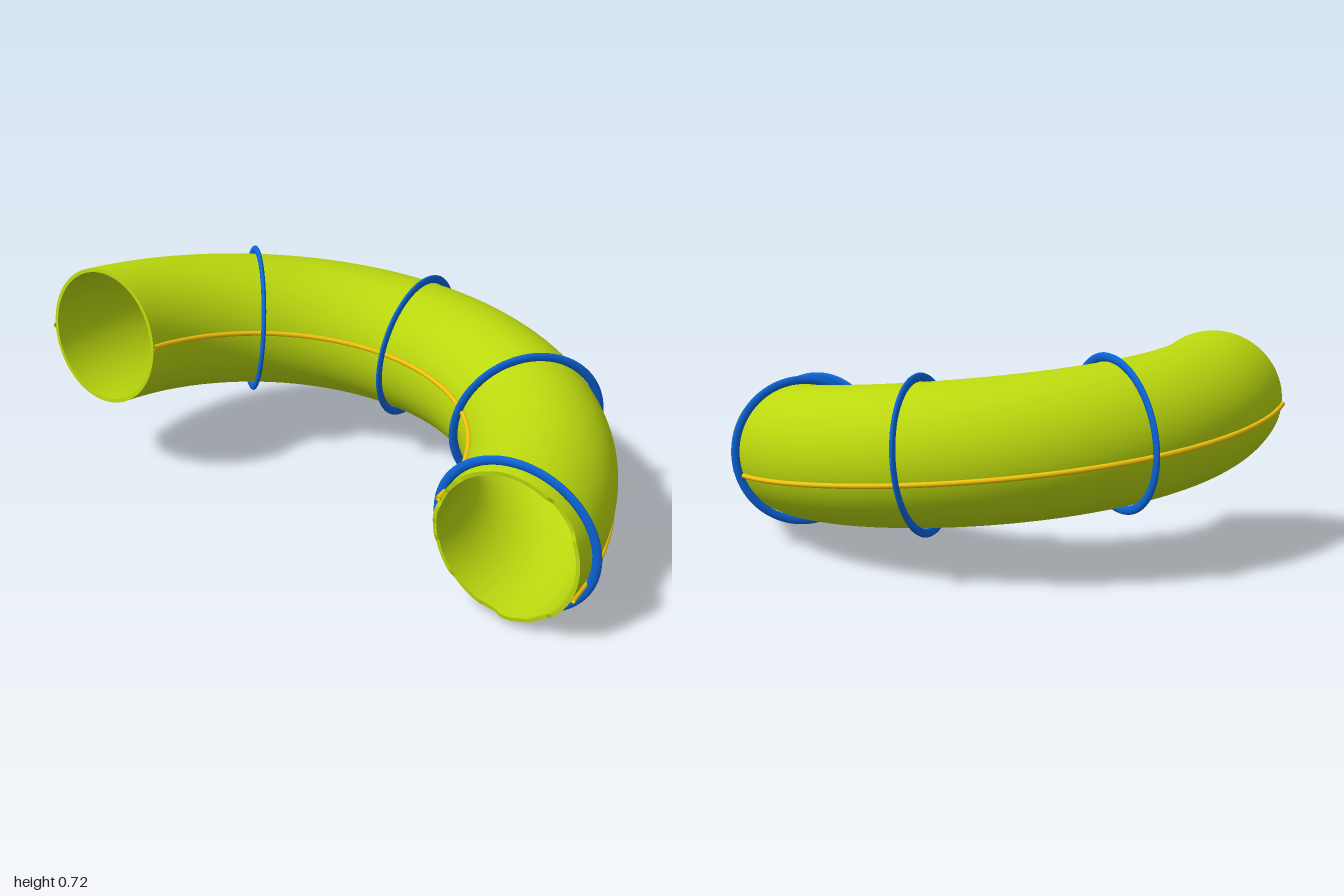
import * as THREE from 'three';
import { ParametricGeometry } from 'three/addons/geometries/ParametricGeometry.js';

const BEND = 0.752, RISE = 0.25, OUTER = 0.223, INNER = 0.211;
const END = Math.PI - 0.033;

// Local frame of the rising half-turn: centre, outward and upward directions
function frame(a) {
  const c = Math.cos(a), s = Math.sin(a);
  const centre = new THREE.Vector3(-0.01 + BEND * c, 0.255 + RISE * a / Math.PI, 0.47 - BEND * s);
  const tangent = new THREE.Vector3(-BEND * s, RISE / Math.PI, -BEND * c).normalize();
  const out = new THREE.Vector3(c, 0, -s);
  const up = new THREE.Vector3().crossVectors(out, tangent);
  return { centre, out, up };
}

// Point at bend angle a, angle phi around the pipe and radius r
function pipePoint(a, phi, r, target = new THREE.Vector3()) {
  const { centre, out, up } = frame(a);
  return target.copy(centre)
    .addScaledVector(out, r * Math.cos(phi))
    .addScaledVector(up, r * Math.sin(phi));
}

// Ragged cut of the lower end, as small steps around the rim
const STEPS = [0, 0, -0.008, -0.008, 0, 0, 0, 0.004, 0.004, 0.016, 0.008, 0.022,
  0.016, 0.008, 0.008, 0, 0, -0.006, 0.004, 0, -0.008, 0, 0, 0];
function startAngle(phi) {
  const t = THREE.MathUtils.euclideanModulo(phi / (2 * Math.PI), 1) * STEPS.length;
  const i = Math.floor(t) % STEPS.length;
  const k = THREE.MathUtils.smoothstep(t - Math.floor(t), 0.6, 1);
  const step = THREE.MathUtils.lerp(STEPS[i], STEPS[(i + 1) % STEPS.length], k);
  return -(0.042 - 0.024 * Math.sin(phi) + step) / BEND;
}

export function createModel() {
  const model = new THREE.Group();
  const material = color => new THREE.MeshStandardMaterial({ color, side: THREE.DoubleSide });
  const green = material(0xbbd80e), blue = material(0x0c66dd), yellow = material(0xf2c40c);
  const add = (name, geometry, mat) => {
    const mesh = new THREE.Mesh(geometry, mat);
    mesh.name = name;
    model.add(mesh);
    return mesh;
  };

  // Pipe walls; the inner one turns the other way round
  const wall = (r, dir) => new ParametricGeometry((u, v, p) => {
    const phi = dir * v * 2 * Math.PI, a0 = startAngle(phi);
    pipePoint(a0 + (END - a0) * u, phi, r, p);
  }, 80, 96);
  add('pipeOuterWall', wall(OUTER, 1), green);
  add('pipeInnerWall', wall(INNER, -1), green);

  // Rims closing the wall thickness at both ends
  const rim = (angleAt, from, to) => new ParametricGeometry((u, v, p) => {
    const phi = v * 2 * Math.PI;
    pipePoint(angleAt(phi), phi, from + (to - from) * u, p);
  }, 1, 96);
  add('upperRim', rim(() => END, OUTER, INNER), green);
  add('lowerRim', rim(startAngle, INNER, OUTER), green);

  // Thin seams on the outside and inside of the bend, twisting slightly
  for (const [name, side] of [['outerSeam', 0], ['innerSeam', Math.PI]]) {
    const points = [];
    for (let i = 0; i <= 32; i++) {
      const a = THREE.MathUtils.lerp(-0.065, END, i / 32);
      const twist = THREE.MathUtils.lerp(-0.39, -0.06, a / Math.PI);
      points.push(pipePoint(a, side + twist, OUTER + 0.003));
    }
    add(name, new THREE.TubeGeometry(new THREE.CatmullRomCurve3(points), 100, 0.008, 8), yellow);
  }

  // Narrow flanges around the pipe
  const ringGeometry = new THREE.TorusGeometry(0.238, 0.014, 12, 96).scale(1, 1, 0.55);
  [0.02, Math.PI / 4, Math.PI / 2, 3 * Math.PI / 4].forEach((a, i) => {
    const { centre, out, up } = frame(a);
    const ring = add('flangeRing' + (i + 1), ringGeometry, blue);
    ring.position.copy(centre);
    ring.quaternion.setFromRotationMatrix(
      new THREE.Matrix4().makeBasis(out, up, new THREE.Vector3().crossVectors(out, up)));
  });

  return model;
}
